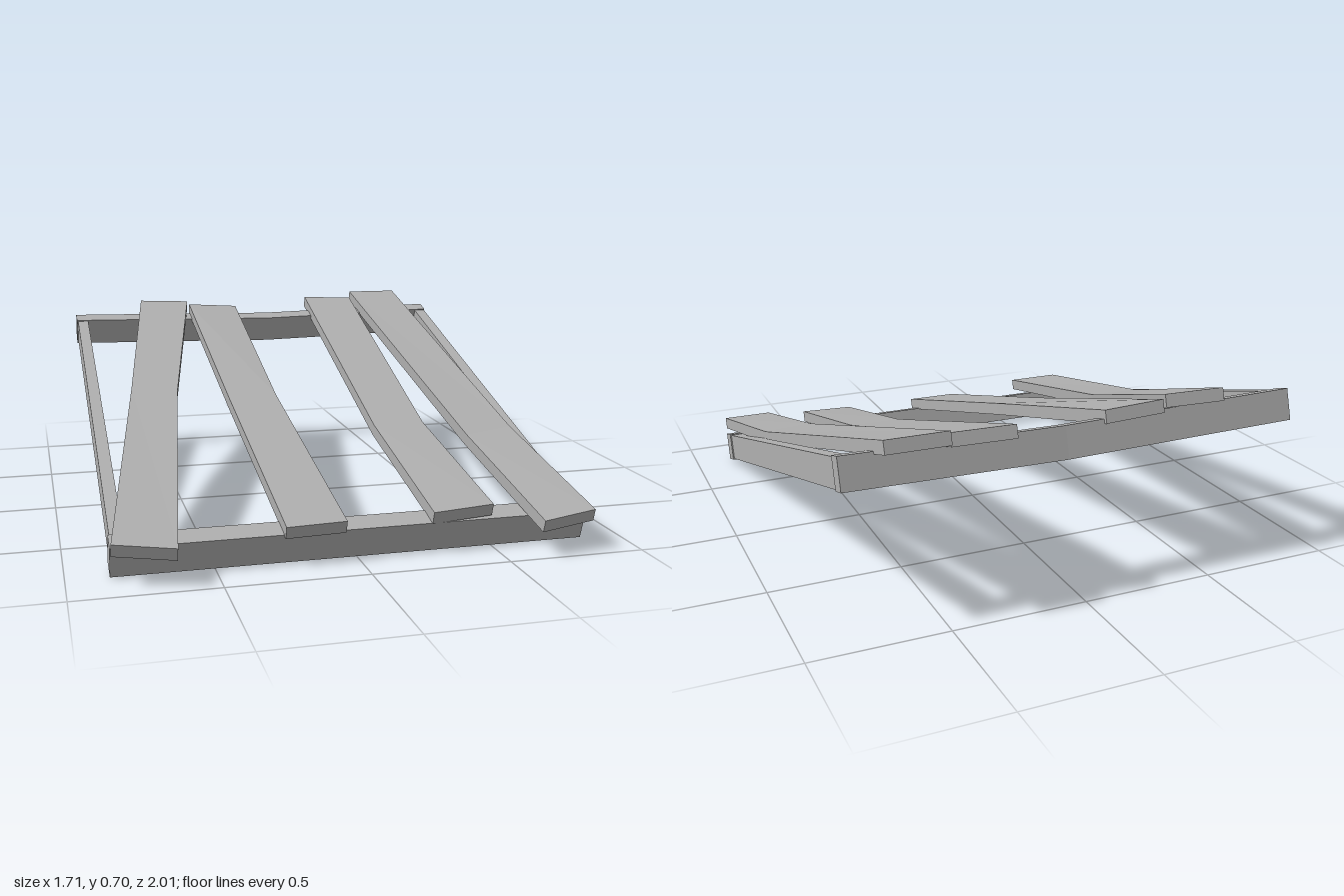
import * as THREE from 'three';

// Four-sided board swept through sections. Each section gives the two top
// edge points [x, y, z]; the underside lies a fixed thickness below.
function board(name, thickness, sections, material) {
  const positions = sections.flatMap(([l, r]) => [
    ...l, ...r,
    r[0], r[1] - thickness, r[2],
    l[0], l[1] - thickness, l[2],
  ]);
  const index = [];
  const quad = (a, b, c, d) => index.push(a, b, c, a, c, d);
  const last = (sections.length - 1) * 4;
  quad(0, 1, 2, 3);
  quad(last, last + 3, last + 2, last + 1);
  for (let s = 0; s < last; s += 4) {
    for (let k = 0; k < 4; k++) {
      const j = (k + 1) % 4;
      quad(s + k, s + 4 + k, s + 4 + j, s + j);
    }
  }
  const indexed = new THREE.BufferGeometry();
  indexed.setAttribute('position', new THREE.Float32BufferAttribute(positions, 3));
  indexed.setIndex(index);
  const geometry = indexed.toNonIndexed();
  geometry.computeVertexNormals();
  const mesh = new THREE.Mesh(geometry, material);
  mesh.name = name;
  return mesh;
}

export function createModel() {
  const model = new THREE.Group();
  model.name = 'slattedPallet';
  const wood = new THREE.MeshStandardMaterial({ color: 0xb0b0b0 });
  wood.name = 'greyWood';

  // Everything is laid out flat, then the whole panel is tilted, front down
  const panel = new THREE.Group();
  panel.name = 'tiltedPanel';
  panel.position.y = 0.247;
  panel.rotation.x = 0.2925;
  model.add(panel);

  // Front beam, straight
  panel.add(board('frontBeam', 0.115, [-0.853, 0.853].map((x) => [
    [x, 0.115, 0.856], [x, 0.115, 0.775],
  ]), wood));

  // Back beam, warped downwards in the middle
  const warp = [[-0.845, 0], [-0.3, 0.008], [0.05, 0.014], [0.3, 0.01], [0.845, 0]];
  panel.add(board('backBeam', 0.115, warp.map(([x, d]) => [
    [x, 0.115 - d, -0.93 + d], [x, 0.115 - d, -0.992 + d],
  ]), wood));

  // Side rails between the beams
  panel.add(board('rightRail', 0.106, [
    [[-0.84, 0.11, -0.94], [-0.795, 0.11, -0.94]],
    [[-0.848, 0.11, 0.78], [-0.8, 0.11, 0.78]],
  ], wood));
  panel.add(board('leftRail', 0.106, [
    [[0.795, 0.11, -0.94], [0.842, 0.11, -0.94]],
    [[0.8, 0.11, 0.78], [0.848, 0.11, 0.78]],
  ], wood));

  // Crooked, sagging slats: back, middle and front sections
  const slats = {
    outerRightSlat: [
      [[-0.54, 0.156, -1.039], [-0.325, 0.159, -1.009]],
      [[-0.67, 0.13, -0.216], [-0.487, 0.132, -0.174]],
      [[-0.855, 0.183, 0.927], [-0.645, 0.181, 0.974]],
    ],
    innerRightSlat: [
      [[-0.315, 0.143, -1.009], [-0.095, 0.134, -0.995]],
      [[-0.291, 0.143, -0.075], [-0.095, 0.145, -0.075]],
      [[-0.265, 0.157, 0.872], [-0.05, 0.159, 0.866]],
    ],
    innerLeftSlat: [
      [[0.265, 0.138, -1.065], [0.485, 0.14, -1.039]],
      [[0.255, 0.12, 0.173], [0.46, 0.122, 0.173]],
      [[0.265, 0.162, 0.86], [0.49, 0.17, 0.847]],
    ],
    outerLeftSlat: [
      [[0.5, 0.15, -1.089], [0.72, 0.151, -1.084]],
      [[0.59, 0.142, 0.323], [0.795, 0.138, 0.272]],
      [[0.625, 0.18, 0.985], [0.835, 0.182, 0.943]],
    ],
  };
  for (const [name, sections] of Object.entries(slats)) {
    panel.add(board(name, 0.047, sections, wood));
  }
  return model;
}
